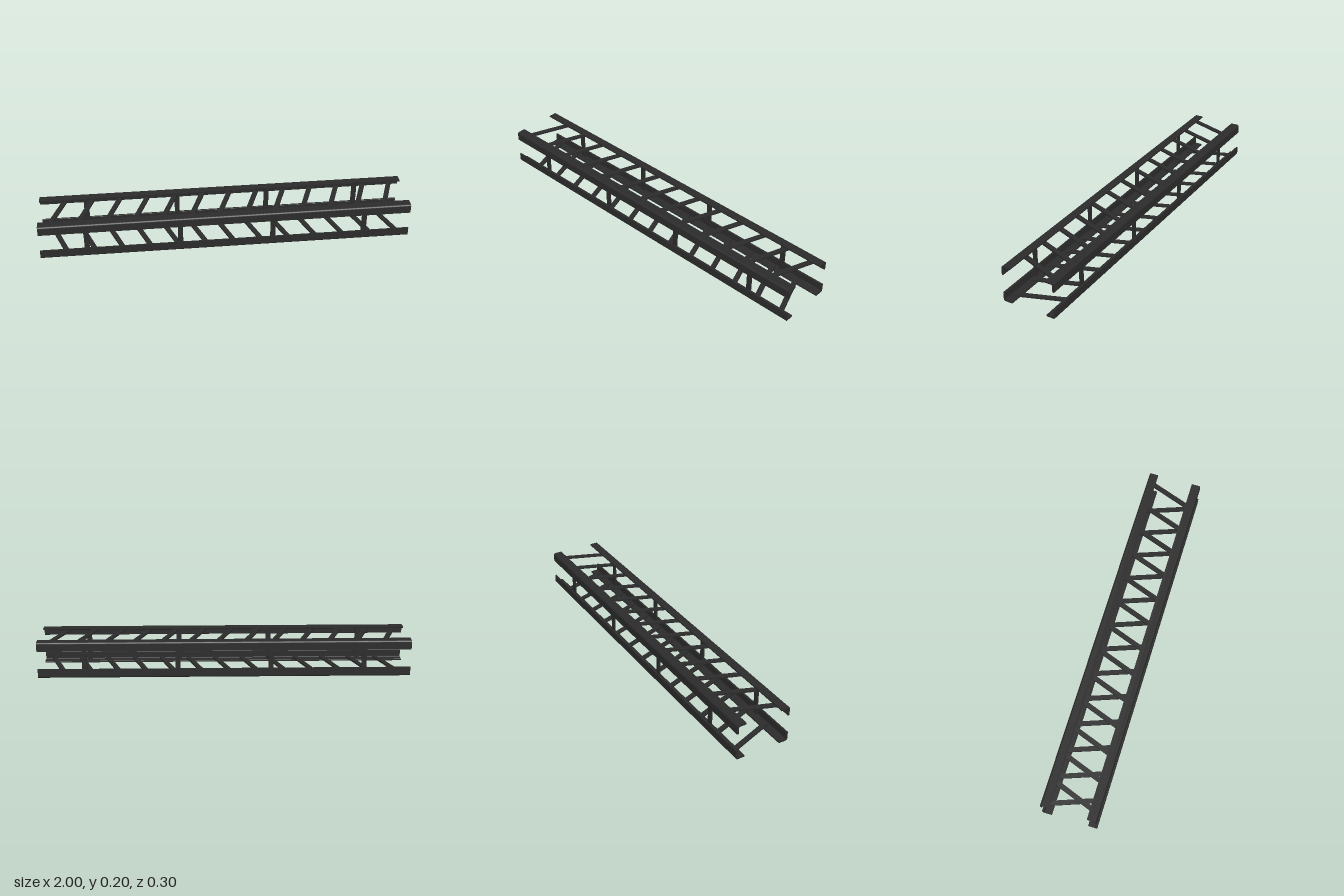
import * as THREE from 'three';

const HEIGHT = 0.2, WIDTH = 0.3, LENGTH = 2;
const LEG = 0.05, THICK = 0.009;

// L-shaped section with its outer corner at the origin
function angleGeometry() {
  const r = 0.01, f = 0.005, t = THICK;
  const s = new THREE.Shape();
  s.moveTo(-LEG, 0);
  s.lineTo(-LEG, -t + 0.003);
  s.quadraticCurveTo(-LEG, -t, -LEG + 0.003, -t);
  s.lineTo(-t - f, -t);
  s.quadraticCurveTo(-t, -t, -t, -t - f);
  s.lineTo(-t, -LEG + 0.003);
  s.quadraticCurveTo(-t, -LEG, -t + 0.003, -LEG);
  s.lineTo(0, -LEG);
  s.lineTo(0, -r);
  s.absarc(-r, -r, r, 0, Math.PI / 2, false);
  s.closePath();
  const g = new THREE.ExtrudeGeometry(s, { depth: LENGTH, bevelEnabled: false, curveSegments: 5 });
  g.translate(0, 0, -LENGTH / 2);
  g.rotateY(Math.PI / 2);
  return g;
}

export function createModel() {
  const model = new THREE.Group();
  model.name = 'latticeBeam';
  const steel = new THREE.MeshStandardMaterial({ color: 0x2b2b2b });
  steel.name = 'darkSteel';

  const add = (name, geometry, x, y, z) => {
    const mesh = new THREE.Mesh(geometry, steel);
    mesh.name = name;
    mesh.position.set(x, y, z);
    model.add(mesh);
    return mesh;
  };

  // Four corner angles, legs turned inwards
  const angle = angleGeometry();
  const corners = [['topBack', 1, -1], ['topFront', 1, 1], ['bottomFront', -1, 1], ['bottomBack', -1, -1]];
  corners.forEach(([name, sy, sz], i) => {
    const chord = add(name + 'Angle', angle, 0, HEIGHT / 2 * (1 + sy), sz * WIDTH / 2);
    chord.rotation.x = i * Math.PI / 2;
  });

  // Slanted lacing bars, opposite slants on top and bottom
  const lacing = new THREE.BoxGeometry(0.026, THICK, 0.279);
  const slant = THREE.MathUtils.degToRad(20);
  for (let i = -6; i <= 6; i++) {
    add('topLacing', lacing, i * 0.15, HEIGHT - 0.0135, 0).rotation.y = -slant;
    add('bottomLacing', lacing, i * 0.15, 0.0135, 0).rotation.y = slant;
  }

  // Upright battens on both sides
  const batten = new THREE.BoxGeometry(0.027, 0.18, THICK);
  for (const x of [-0.75, -0.25, 0.25, 0.75]) {
    for (const side of [-1, 1]) {
      add(side > 0 ? 'frontBatten' : 'backBatten', batten, x, HEIGHT / 2, side * (WIDTH / 2 - 0.0135));
    }
  }
  return model;
}
